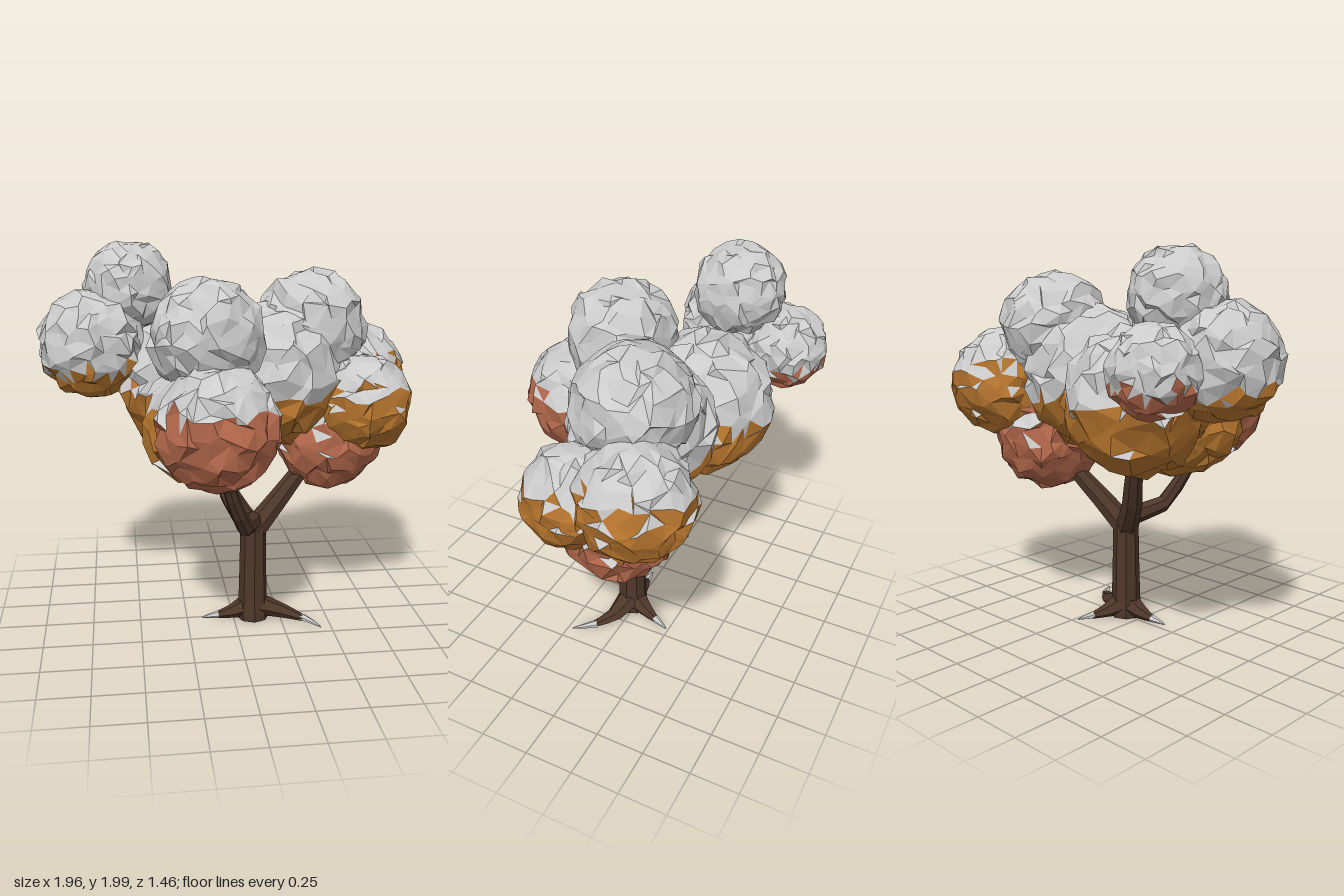
import * as THREE from 'three';

const mat = (color) => new THREE.MeshStandardMaterial({ color, flatShading: true, side: THREE.DoubleSide });
const grey = mat(0xcccccc), amber = mat(0xb8762e), copper = mat(0xb5694c), bark = mat(0x4e3729);

// Repeatable noise in -1..1 from a position and a seed
function noise(x, y, z, seed) {
  const s = Math.sin(x * 127.1 + y * 311.7 + z * 74.7 + seed * 53.3) * 43758.5453;
  return (s - Math.floor(s)) * 2 - 1;
}

// Foliage: x, y, z, radius, height below which facets are coloured, lower colour
const CLUMPS = [
  ['crownTop', -0.51, 1.76, -0.28, 0.24, 0, amber],
  ['leftClump', -0.70, 1.48, -0.19, 0.29, 1.36, amber],
  ['backLeftClump', -0.60, 1.45, -0.52, 0.22, 1.38, copper],
  ['frontUpperClump', -0.15, 1.56, 0.20, 0.295, 0, amber],
  ['frontLowerClump', -0.12, 1.165, 0.42, 0.31, 1.27, copper],
  ['frontCoreClump', -0.14, 1.13, 0.19, 0.34, 1.28, amber],
  ['backCoreClump', -0.22, 1.25, -0.23, 0.38, 1.25, amber],
  ['centreClump', 0.21, 1.32, -0.09, 0.38, 1.24, amber],
  ['rightUpperClump', 0.43, 1.555, -0.17, 0.30, 0, amber],
  ['rightBackClump', 0.70, 1.26, -0.31, 0.29, 1.38, amber],
  ['rightFrontClump', 0.68, 1.17, 0.00, 0.265, 1.32, amber],
  ['rightLowerClump', 0.53, 0.97, -0.14, 0.30, 1.3, copper],
];

function clump([name, cx, cy, cz, r, line, lower], seed) {
  const p = new THREE.IcosahedronGeometry(1, 4).attributes.position;
  const v = new THREE.Vector3();
  // Shift each corner sideways and in or out for crumpled facets
  for (let i = 0; i < p.count; i++) {
    v.fromBufferAttribute(p, i);
    const [a, b, c] = v.toArray().map((n) => Math.round(n * 1000) / 1000);
    v.x += 0.11 * noise(a, b, c, seed + 1);
    v.y += 0.11 * noise(a, b, c, seed + 20);
    v.z += 0.11 * noise(a, b, c, seed + 40);
    v.setLength(r * (0.955 + 0.065 * noise(a, b, c, seed + 60)));
    p.setXYZ(i, v.x, v.y, v.z);
  }
  // Facets that face up or sit high are pale, the underside is coloured
  const top = [], bottom = [];
  const tri = new THREE.Triangle();
  for (let i = 0; i < p.count; i += 3) {
    tri.setFromAttributeAndIndices(p, i, i + 1, i + 2);
    const y = cy + tri.getMidpoint(v).y;
    const low = y + 0.05 * noise(i, y, 0, seed) < line && tri.getNormal(v).y < 0.4;
    for (const corner of [tri.a, tri.b, tri.c]) (low ? bottom : top).push(...corner.toArray());
  }
  const group = new THREE.Group();
  group.name = name;
  group.position.set(cx, cy, cz);
  for (const [part, list, m] of [['paleLeaves', top, grey], ['colouredLeaves', bottom, lower]]) {
    if (!list.length) continue;
    const g = new THREE.BufferGeometry();
    g.setAttribute('position', new THREE.Float32BufferAttribute(list, 3));
    g.computeVertexNormals();
    const mesh = new THREE.Mesh(g, m);
    mesh.name = part;
    group.add(mesh);
  }
  return group;
}

// Faceted limb along a path, with the radius following a list of values
function limb(name, points, radii, material = bark, sides = 7, flat = 1) {
  const curve = new THREE.CatmullRomCurve3(points.map((q) => new THREE.Vector3(...q)), false, 'catmullrom', 0.1);
  const steps = 2 * (points.length - 1);
  const g = new THREE.TubeGeometry(curve, steps, 1, sides);
  const p = g.attributes.position, v = new THREE.Vector3();
  for (let i = 0; i <= steps; i++) {
    const c = curve.getPointAt(i / steps);
    const t = (i / steps) * (radii.length - 1), k = Math.min(Math.floor(t), radii.length - 2);
    const r = THREE.MathUtils.lerp(radii[k], radii[k + 1], t - k);
    for (let j = 0; j <= sides; j++) {
      const n = i * (sides + 1) + j;
      v.fromBufferAttribute(p, n).sub(c).multiplyScalar(r);
      v.y *= flat;
      v.add(c);
      p.setXYZ(n, v.x, Math.max(v.y, 0.005), v.z);
    }
  }
  g.computeVertexNormals();
  const mesh = new THREE.Mesh(g, material);
  mesh.name = name;
  return mesh;
}

export function createModel() {
  const tree = new THREE.Group();
  tree.name = 'tree';

  // Trunk with a slight flare at the foot
  const profile = [[0, 0], [0.085, 0], [0.085, 0.04], [0.077, 0.1], [0.072, 0.3], [0.068, 0.52], [0.05, 0.57], [0, 0.58]];
  const trunk = new THREE.Mesh(new THREE.LatheGeometry(profile.map((q) => new THREE.Vector2(...q)), 8), bark);
  trunk.name = 'trunk';
  trunk.position.set(0.105, 0, 0.02);
  tree.add(trunk);

  // Three branches
  tree.add(
    limb('frontBranch', [[0.1, 0.55, 0.02], [0.03, 0.6, 0.25], [-0.05, 0.8, 0.35], [-0.1, 1.0, 0.42]], [0.055, 0.045, 0.035, 0.03]),
    limb('leftBranch', [[0.1, 0.5, 0.02], [0.0, 0.65, -0.04], [-0.07, 0.83, -0.1], [-0.16, 1.05, -0.16]], [0.065, 0.055, 0.045, 0.035]),
    limb('rightBranch', [[0.11, 0.5, 0.02], [0.24, 0.64, -0.03], [0.37, 0.78, -0.09], [0.5, 0.95, -0.13]], [0.065, 0.055, 0.045, 0.035]),
  );

  // Spreading roots with pale tips: end x, end z, sideways bend
  for (const [name, x, z, bend] of [['frontRoot', 0.44, 0.22, 0.15], ['sideRoot', -0.17, 0.03, 0], ['backRoot', 0.21, -0.24, 0]]) {
    const dx = x - 0.105, dz = z - 0.02;
    const at = (t, y) => {
      const b = bend * Math.sin(Math.PI * t);
      return [0.105 + dx * t + dz * b, y, 0.02 + dz * t - dx * b];
    };
    tree.add(
      limb(name, [at(0.08, 0.07), at(0.4, 0.035), at(0.72, 0.02)], [0.07, 0.045, 0.02], bark, 6, 0.8),
      limb(name + 'Tip', [at(0.68, 0.023), at(0.85, 0.018), at(1, 0.012)], [0.024, 0.015, 0.004], grey, 6, 0.8),
    );
  }

  // Leafy crown
  const crown = new THREE.Group();
  crown.name = 'crown';
  CLUMPS.forEach((c, i) => crown.add(clump(c, i * 3 + 1)));
  tree.add(crown);
  return tree;
}
